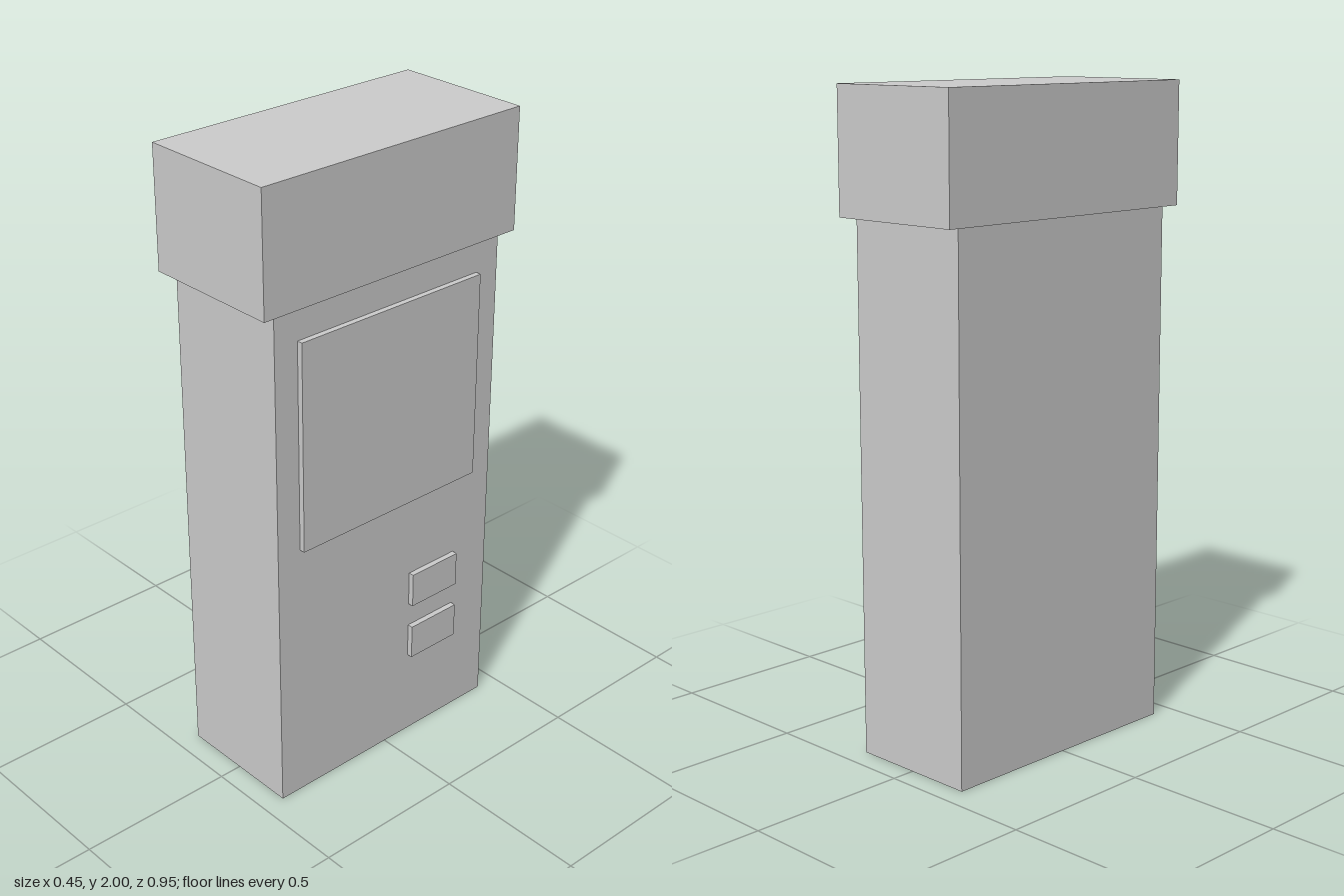
import * as THREE from 'three';

export function createModel() {
  const model = new THREE.Group();
  const lightGrey = new THREE.MeshStandardMaterial({ color: 0xcccccc });
  lightGrey.name = 'lightGrey';

  // Box given by its [min, max] range on each axis
  function addBox(name, [x0, x1], [y0, y1], [z0, z1]) {
    const mesh = new THREE.Mesh(new THREE.BoxGeometry(x1 - x0, y1 - y0, z1 - z0), lightGrey);
    mesh.position.set((x0 + x1) / 2, (y0 + y1) / 2, (z0 + z1) / 2);
    mesh.name = name;
    model.add(mesh);
  }

  // Cabinet and overhanging top
  addBox('cabinet', [-0.21, 0.208], [0, 1.625], [-0.427, 0.427]);
  addBox('topHousing', [-0.227, 0.227], [1.625, 2], [-0.475, 0.475]);

  // Raised display panel on the +x side
  const relief = [0.208, 0.226];
  addBox('displayPanel', relief, [0.862, 1.524], [-0.342, 0.345]);

  // Two raised plates below the panel
  [['upperSlotPlate', 0.48], ['lowerSlotPlate', 0.288]].forEach(([name, y]) =>
    addBox(name, relief, [y, y + 0.113], [-0.283, -0.095]));

  return model;
}
